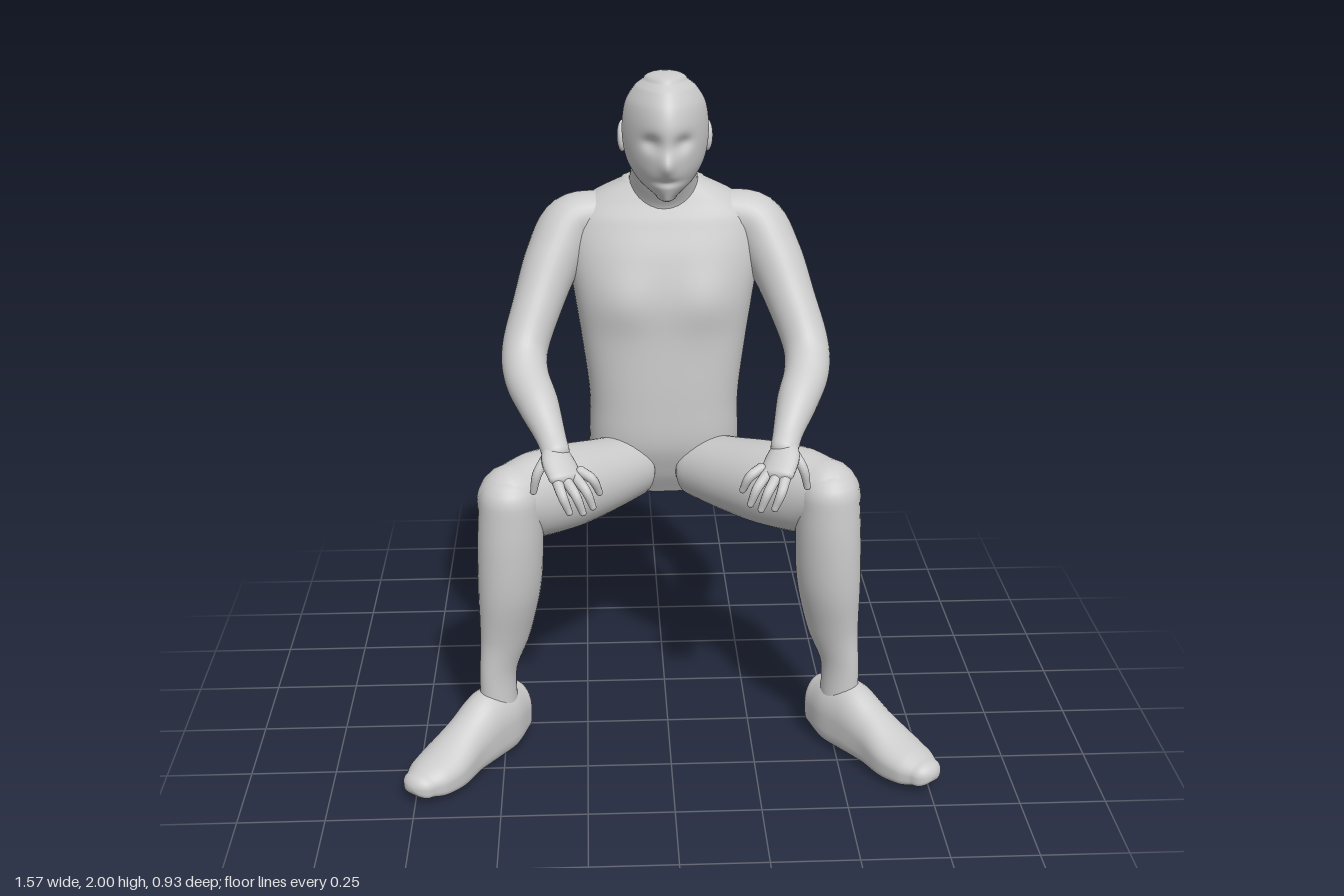
import * as THREE from 'three';
import { mergeVertices } from 'three/addons/utils/BufferGeometryUtils.js';

const material = new THREE.MeshStandardMaterial({ color: 0xcccccc });
const V = (x, y, z) => new THREE.Vector3(x, y, z);
const bump = (d, w) => Math.exp(-(d * d) / (w * w));
const ellipse = (c, s) => [c, s];
const squarish = (c, s) => [Math.sign(c) * Math.abs(c) ** 0.8, Math.sign(s) * Math.abs(s) ** 0.8];

// Smooth closed body through sections [x, y, z, radius along ref, radius across ref],
// with rounded ends. axis: fixed ring normal; shape: outline; rule: moves each vertex.
function loft(name, sections, { ref, axis, caps = [0.05, 0.05], shape = ellipse, rule, steps = 6, sides = 32 }) {
  const path = new THREE.CatmullRomCurve3(sections.map(s => V(s[0], s[1], s[2])));
  const size = new THREE.CatmullRomCurve3(sections.map(s => V(s[3], s[4], 0)), false, 'catmullrom', 0.5);
  const n = (sections.length - 1) * steps, capSteps = 6, rings = [];
  for (let k = capSteps; k > 0; k--) {
    const a = (k / capSteps) * Math.PI / 2;
    rings.push([0, -Math.sin(a) * caps[0], Math.cos(a)]);
  }
  for (let i = 0; i <= n; i++) rings.push([i / n, 0, 1]);
  for (let k = 1; k <= capSteps; k++) {
    const a = (k / capSteps) * Math.PI / 2;
    rings.push([1, Math.sin(a) * caps[1], Math.cos(a)]);
  }
  const pos = [], index = [];
  rings.forEach(([t, shift, scale], i) => {
    const T = axis ? axis.clone().normalize() : path.getTangent(t);
    const N1 = ref.clone().addScaledVector(T, -ref.dot(T)).normalize();
    const N2 = T.clone().cross(N1);
    const centre = path.getPoint(t).addScaledVector(T, shift), r = size.getPoint(t);
    for (let j = 0; j < sides; j++) {
      const a = (j / sides) * Math.PI * 2;
      const [u, v] = shape(Math.cos(a), Math.sin(a));
      const p = centre.clone().addScaledVector(N1, u * r.x * scale).addScaledVector(N2, v * r.y * scale);
      if (rule) rule(p);
      pos.push(p.x, p.y, p.z);
      if (i < rings.length - 1) {
        const k = (j + 1) % sides, A = i * sides, B = A + sides;
        index.push(A + j, A + k, B + k, A + j, B + k, B + j);
      }
    }
  });
  let geo = new THREE.BufferGeometry();
  geo.setAttribute('position', new THREE.Float32BufferAttribute(pos, 3));
  geo.setIndex(index);
  geo = mergeVertices(geo, 1e-5);
  geo.computeVertexNormals();
  const mesh = new THREE.Mesh(geo, material);
  mesh.name = name;
  return mesh;
}

// Upright sections from [y, front z, back z, half width]
const upright = rows => rows.map(([y, f, b, w]) => [0, y, (f + b) / 2, w, (f - b) / 2]);

function ellipsoid(name, [x, y, z], [a, b, c], rotation = [0, 0, 0]) {
  const mesh = new THREE.Mesh(new THREE.SphereGeometry(1, 24, 16), material);
  mesh.name = name;
  mesh.position.set(x, y, z);
  mesh.scale.set(a, b, c);
  mesh.rotation.set(...rotation);
  return mesh;
}

// Chest swell, spine groove and buttock cleft
function torsoRule(p) {
  if (p.z > -0.28) p.z += 0.014 * bump(Math.abs(p.x) - 0.12, 0.08) * bump(p.y - 1.32, 0.09);
  else {
    p.z += 0.012 * bump(p.x, 0.035) * bump(p.y - 1.15, 0.3);
    p.z += 0.035 * bump(p.x, 0.025) * bump(p.y - 0.72, 0.09);
  }
}

// Nose, eye sockets and mouth
function faceRule(p) {
  if (p.z < -0.12) return;
  p.z += 0.02 * bump(p.x, 0.02) * bump(p.y - 1.765, 0.03);
  p.z -= 0.022 * bump(Math.abs(p.x) - 0.045, 0.025) * bump(p.y - 1.825, 0.022);
  p.z -= 0.008 * bump(p.x, 0.04) * bump(p.y - 1.715, 0.01);
}

function side(s) {
  const g = new THREE.Group();
  g.name = s > 0 ? 'leftLimbs' : 'rightLimbs';
  const limb = (name, rows, ref, opts = {}) =>
    g.add(loft(name, rows.map(([x, ...r]) => [x * s, ...r]), { ref: V(ref[0] * s, ref[1], ref[2]), ...opts }));

  // Arm from inside the shoulder to the wrist
  limb('arm', [
    [0.17, 1.53, -0.345, 0.1, 0.08], [0.27, 1.51, -0.335, 0.105, 0.09], [0.325, 1.43, -0.285, 0.095, 0.085],
    [0.375, 1.31, -0.21, 0.08, 0.074], [0.415, 1.19, -0.13, 0.07, 0.068], [0.41, 1.135, -0.06, 0.064, 0.066],
    [0.375, 1.08, 0.03, 0.06, 0.06], [0.34, 1.02, 0.12, 0.042, 0.044], [0.325, 0.99, 0.17, 0.034, 0.04],
  ], [0, 0.6, 0.8], { caps: [0.06, 0.03] });

  // Hand with four fingers and a thumb
  limb('palm', [
    [0.33, 0.995, 0.155, 0.036, 0.03], [0.318, 0.97, 0.195, 0.05, 0.028], [0.297, 0.94, 0.24, 0.052, 0.024],
  ], [0.85, 0.1, 0.5], { caps: [0.02, 0.02], sides: 20 });
  const fingers = [
    [[0.258, 0.95, 0.215], [0.222, 0.932, 0.235], [0.203, 0.887, 0.225]],
    [[0.272, 0.94, 0.232], [0.24, 0.91, 0.268], [0.222, 0.862, 0.268]],
    [[0.295, 0.935, 0.25], [0.268, 0.905, 0.29], [0.25, 0.855, 0.29]],
    [[0.32, 0.935, 0.258], [0.305, 0.905, 0.295], [0.288, 0.86, 0.297]],
    [[0.35, 0.98, 0.18], [0.378, 0.935, 0.2], [0.39, 0.88, 0.195]],
  ];
  fingers.forEach((f, i) => limb(i < 4 ? 'finger' : 'thumb',
    f.map((p, k) => [...p, [0.016, 0.014, 0.01][k], [0.016, 0.014, 0.01][k]]),
    [1, 0, 0.3], { caps: [0.01, 0.01], sides: 12 }));

  // Leg
  limb('thigh', [
    [0.11, 0.775, -0.22, 0.1, 0.1], [0.2, 0.782, -0.13, 0.112, 0.114], [0.3, 0.793, -0.035, 0.118, 0.128],
    [0.4, 0.808, 0.06, 0.108, 0.128], [0.458, 0.82, 0.12, 0.098, 0.108],
  ], [0.7, 0, -0.7], { caps: [0.05, 0.1] });
  limb('shin', [
    [0.46, 0.83, 0.14, 0.088, 0.092], [0.463, 0.7, 0.14, 0.09, 0.1], [0.47, 0.55, 0.135, 0.084, 0.1],
    [0.487, 0.4, 0.126, 0.064, 0.086], [0.512, 0.28, 0.137, 0.045, 0.064], [0.515, 0.15, 0.137, 0.048, 0.062],
  ], [0.7, 0, -0.7], { caps: [0.08, 0.03] });

  // Shoe from [distance from heel, sole, top, half width]
  limb('shoe', [
    [0, 0.02, 0.185, 0.058], [0.07, 0.002, 0.21, 0.076], [0.15, 0, 0.215, 0.076], [0.24, 0.002, 0.172, 0.074],
    [0.33, 0, 0.13, 0.082], [0.4, 0.008, 0.108, 0.074], [0.44, 0.02, 0.095, 0.055],
  ].map(([d, lo, hi, w]) => [0.47 + 0.6 * d, (lo + hi) / 2, 0.055 + 0.8 * d, (hi - lo) / 2, w]),
  [0, 1, 0], {
    axis: V(0.6 * s, 0, 0.8), caps: [0.035, 0.04],
    shape: (c, v) => [c < 0 ? -(Math.abs(c) ** 0.5) : c, Math.sign(v) * Math.abs(v) ** (c < 0 ? 0.6 : 1)],
  });
  g.add(ellipsoid('buttock', [0.11 * s, 0.775, -0.335], [0.125, 0.108, 0.122]));
  g.add(ellipsoid('ear', [0.122 * s, 1.81, -0.2], [0.014, 0.045, 0.026], [-0.2, 0.25 * s, 0]));
  return g;
}

export function createModel() {
  const model = new THREE.Group();
  model.name = 'seatedFigure';
  const up = { ref: V(1, 0, 0), axis: V(0, 1, 0) };

  model.add(loft('torso', upright([
    [0.69, -0.22, -0.4, 0.15], [0.76, -0.18, -0.455, 0.225], [0.86, -0.145, -0.462, 0.23],
    [1, -0.14, -0.452, 0.228], [1.2, -0.145, -0.46, 0.252], [1.32, -0.148, -0.466, 0.27],
    [1.45, -0.175, -0.475, 0.29], [1.55, -0.21, -0.468, 0.28], [1.61, -0.235, -0.435, 0.21],
    [1.655, -0.25, -0.395, 0.125],
  ]), { ...up, caps: [0.02, 0.02], shape: squarish, rule: torsoRule, sides: 64 }));

  model.add(loft('neck', [
    [0, 1.55, -0.335, 0.13, 0.1], [0, 1.63, -0.305, 0.108, 0.09], [0, 1.7, -0.262, 0.096, 0.086],
    [0, 1.8, -0.215, 0.095, 0.085],
  ], { ref: V(1, 0, 0) }));

  // Head, narrower toward the face
  model.add(loft('head', upright([
    [1.665, -0.035, -0.13, 0.03], [1.7, -0.02, -0.21, 0.075], [1.75, -0.006, -0.28, 0.108],
    [1.81, -0.002, -0.315, 0.122], [1.87, -0.002, -0.326, 0.122], [1.92, -0.018, -0.312, 0.112],
    [1.96, -0.05, -0.275, 0.087], [1.98, -0.08, -0.24, 0.062],
  ]), {
    ...up, caps: [0.015, 0.02], rule: faceRule, sides: 64, steps: 8,
    shape: (c, v) => [c * (1 - 0.28 * Math.max(0, -v)), v],
  }));

  for (const s of [1, -1]) model.add(side(s));
  return model;
}
